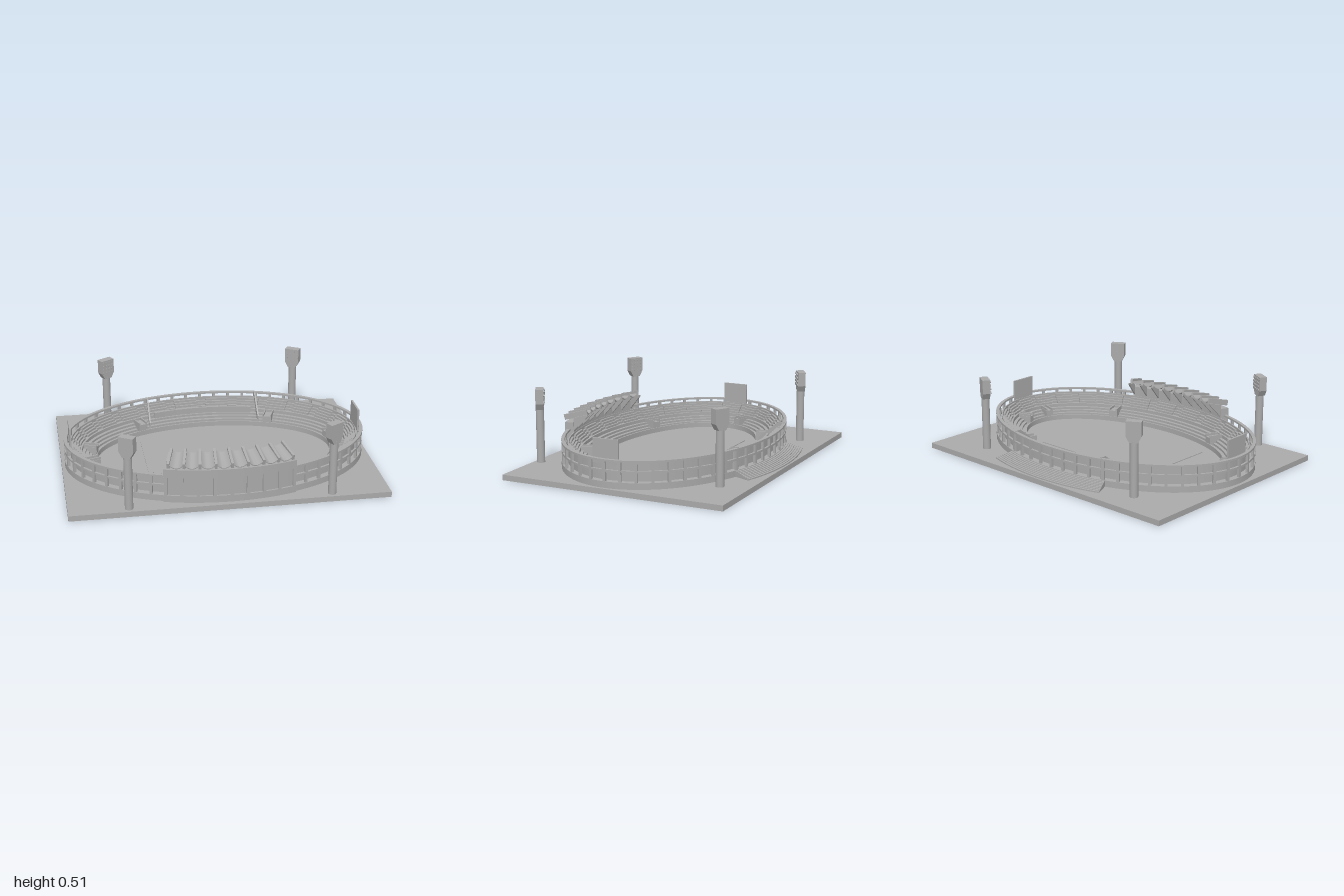
import * as THREE from 'three';
import { toCreasedNormals } from 'three/addons/utils/BufferGeometryUtils.js';

const A = 0.98, B = 0.66, CZ = 0.04; // outer ellipse of the arena
const GROUND = 0.035;
const concrete = new THREE.MeshStandardMaterial({ color: 0xaaaaaa });
concrete.name = 'concrete grey';

// point on the ellipse moved inward by d
const at = (t, d, y) => new THREE.Vector3((A - d) * Math.sin(t), y, CZ + (B - d) * Math.cos(t));
// heading of the outward normal there
const heading = (t, d = 0) => Math.atan2(Math.sin(t) * (B - d), Math.cos(t) * (A - d));

function add(parent, name, geometry, x = 0, y = 0, z = 0, ry = 0) {
  const m = new THREE.Mesh(geometry, concrete);
  m.name = name;
  m.position.set(x, y, z);
  m.rotation.y = ry;
  parent.add(m);
  return m;
}

// sweep a closed profile of [inset, y] (counter-clockwise) around the ellipse
function sweep(profile, t0 = 0, t1 = Math.PI * 2, segs = 96) {
  const pos = [], n = profile.length;
  const put = (i, t) => pos.push(...at(t, ...profile[i % n]).toArray());
  for (let s = 0; s < segs; s++) {
    const a = t0 + (t1 - t0) * s / segs, b = t0 + (t1 - t0) * (s + 1) / segs;
    for (let i = 0; i < n; i++) {
      put(i, a); put(i + 1, a); put(i + 1, b);
      put(i, a); put(i + 1, b); put(i, b);
    }
  }
  if (t1 - t0 < 6.28) {
    const tris = THREE.ShapeUtils.triangulateShape(profile.map(p => new THREE.Vector2(...p)), []);
    for (const [a, b, c] of tris) {
      put(a, t0); put(c, t0); put(b, t0);
      put(a, t1); put(b, t1); put(c, t1);
    }
  }
  const g = new THREE.BufferGeometry();
  g.setAttribute('position', new THREE.Float32BufferAttribute(pos, 3));
  return toCreasedNormals(g, 0.5);
}
const rect = (d0, d1, y0, y1) => [[d0, y0], [d1, y0], [d1, y1], [d0, y1]];

// stair-like outline from (d0,y0) to (d1,y1)
function steps(d0, y0, d1, y1, count) {
  const pts = [];
  for (let i = 0; i < count; i++) {
    const y = y0 + (y1 - y0) * i / (count - 1);
    pts.push([d0 + (d1 - d0) * i / count, y], [d0 + (d1 - d0) * (i + 1) / count, y]);
  }
  return pts;
}

function extrude(points, depth) {
  const shape = new THREE.Shape(points.map(p => new THREE.Vector2(...p)));
  return new THREE.ExtrudeGeometry(shape, { depth, bevelEnabled: false });
}

function buildBowl(g) {
  // stepped section, listed from the pitch side up and outward
  const lower = steps(0.2, 0.058, 0.115, 0.1, 4);
  const upper = steps(0.105, 0.122, 0.048, 0.165, 4);
  add(g, 'seatingBowl', sweep([
    [0, GROUND], [0.21, GROUND], [0.21, 0.068], [0.2, 0.068], ...lower,
    [0.115, 0.122], [0.105, 0.122], ...upper,
    [0.048, 0.188], [0.04, 0.188], [0.04, 0.075], [0, 0.075]]));
  // raised seat blocks on the upper tier
  const blocks = 26;
  for (let i = 0; i < blocks; i++) {
    const t = (i + 0.5) / blocks * Math.PI * 2;
    add(g, 'seatBlock', sweep([[0.05, 0.12], [0.103, 0.12],
      ...steps(0.103, 0.136, 0.05, 0.178, 4)], t - 0.085, t + 0.085, 4));
  }
  // entrance blocks cutting the lower tier, each with two stair walls
  const spots = [0.57, 1.37, 1.77, 2.57];
  for (const t of [...spots, ...spots.map(v => -v)]) {
    const p = at(t, 0.165, 0), h = heading(t, 0.165);
    add(g, 'entranceBlock', new THREE.BoxGeometry(0.05, 0.075, 0.08), p.x, 0.0725, p.z, h);
    for (const s of [-1, 1]) {
      const q = at(t + s * 0.035, 0.16, 0);
      add(g, 'stairWall', new THREE.BoxGeometry(0.008, 0.09, 0.09), q.x, 0.08, q.z, h);
    }
  }
  // side walls of the back stand
  for (const s of [-1, 1]) {
    const wall = extrude([[0.56, 0.05], [0.56, 0.215], [0.52, 0.215], [0.38, 0.1], [0.38, 0.05]], 0.01);
    add(g, 'standSideWall', wall, s * 0.375 - 0.005, 0, 0, Math.PI / 2);
  }
  // low barrier in front of the back stand
  add(g, 'standBarrier', sweep(rect(0.112, 0.125, 0.09, 0.14), Math.PI - 0.4, Math.PI + 0.4, 20));
}

function buildFacade(g) {
  add(g, 'middleRail', sweep(rect(0.002, 0.016, 0.134, 0.147)));
  add(g, 'topRail', sweep(rect(0, 0.022, 0.198, 0.21)));
  const pts = new THREE.EllipseCurve(0, 0, A - 0.01, B - 0.01).getSpacedPoints(52);
  for (const p of pts.slice(0, 52)) {
    if (p.y > 0 && Math.abs(p.x) < 0.41) continue;
    const t = Math.atan2(p.x / (A - 0.01), p.y / (B - 0.01));
    add(g, 'facadeColumn', new THREE.BoxGeometry(0.018, 0.135, 0.016), p.x, 0.1375, CZ + p.y, heading(t));
  }
}

function buildFrontStand(g) {
  const T = 0.43, bays = 8;
  add(g, 'frontStandWall', sweep(rect(0, 0.045, GROUND, 0.255), -T, T, 24));
  add(g, 'lowerBand', sweep(rect(-0.012, 0.002, GROUND, 0.08), -T, T, 24));
  add(g, 'upperBand', sweep(rect(-0.012, 0.002, 0.2, 0.255), -T, T, 24));
  // concave sheet for one roof bay
  const top = [], under = [];
  for (let i = 0; i <= 12; i++) {
    const x = -0.05 + i / 120, y = 0.032 * (x / 0.05) ** 2;
    top.push([x, y]);
    under.unshift([x, y - 0.006]);
  }
  const trough = toCreasedNormals(extrude([...under.reverse(), ...top.reverse()], 0.155), 0.5);
  const bracket = extrude([[0.045, 0.2], [0.045, 0.285], [0.135, 0.305], [0.135, 0.295]], 0.01);
  bracket.translate(0, 0, -0.005);
  for (let i = 0; i <= bays; i++) {
    const t = T * 0.97 * (i / bays * 2 - 1);
    // pier, roof rib and triangular bracket on each bay line
    add(g, 'pier', sweep(rect(-0.012, 0.002, 0.08, 0.2), t - 0.01, t + 0.01, 1));
    const p = at(t, 0.135, 0.302), h = heading(t);
    const rib = add(g, 'roofRib', new THREE.BoxGeometry(0.016, 0.036, 0.155).translate(0, 0.018, 0.0775), p.x, p.y, p.z, h);
    rib.rotation.order = 'YXZ';
    rib.rotation.x = 0.24;
    const o = at(t, 0, 0);
    add(g, 'roofBracket', bracket, o.x, 0, o.z, h + Math.PI / 2);
    if (i === bays) continue;
    const tm = t + T * 0.97 / bays, c = at(tm, 0.135, 0.305);
    const sheet = add(g, 'roofTrough', trough, c.x, c.y, c.z, heading(tm));
    sheet.rotation.order = 'YXZ';
    sheet.rotation.x = 0.24;
  }
}

function buildTower(g, x, z) {
  const tower = new THREE.Group();
  tower.name = 'floodlightTower';
  tower.position.set(x, 0, z);
  tower.rotation.y = Math.atan2(-Math.sign(x) * 0.5, -Math.sign(z) * 0.86);
  add(tower, 'pole', new THREE.CylinderGeometry(0.026, 0.026, 0.36, 20), 0, 0.215, 0);
  const head = extrude([[-0.026, 0.38], [0.026, 0.38], [0.048, 0.42], [0.048, 0.512], [-0.048, 0.512], [-0.048, 0.42]], 0.05);
  add(tower, 'lampHead', head, 0, 0, -0.025);
  const lamp = new THREE.CylinderGeometry(0.009, 0.007, 0.008, 12).rotateX(Math.PI / 2);
  for (let i = 0; i < 4; i++)
    for (let j = 0; j < 4; j++)
      add(tower, 'lamp', lamp, (i - 1.5) * 0.023, 0.425 + j * 0.024, 0.028);
  g.add(tower);
}

export function createModel() {
  const g = new THREE.Group();
  g.name = 'stadium';
  add(g, 'base', new THREE.BoxGeometry(2, GROUND, 1.49), 0, GROUND / 2, 0);
  add(g, 'pitch', new THREE.BoxGeometry(0.92, 0.006, 0.56), 0, GROUND + 0.002, CZ);
  buildBowl(g);
  buildFacade(g);
  buildFrontStand(g);
  // outside stairs behind the back stand
  add(g, 'backStairs', sweep([[-0.113, GROUND], [0.01, GROUND],
    ...steps(0.01, 0.075, -0.113, 0.043, 9)], Math.PI - 0.43, Math.PI + 0.43, 24));
  // end boards
  for (const s of [-1, 1])
    add(g, 'scoreboard', new THREE.BoxGeometry(0.012, 0.15, 0.172), s * 0.94, 0.25, 0.045);
  for (const s of [-1, 1]) {
    buildTower(g, s * 0.63, 0.7);
    buildTower(g, s * 0.65, -0.565);
  }
  return g;
}
